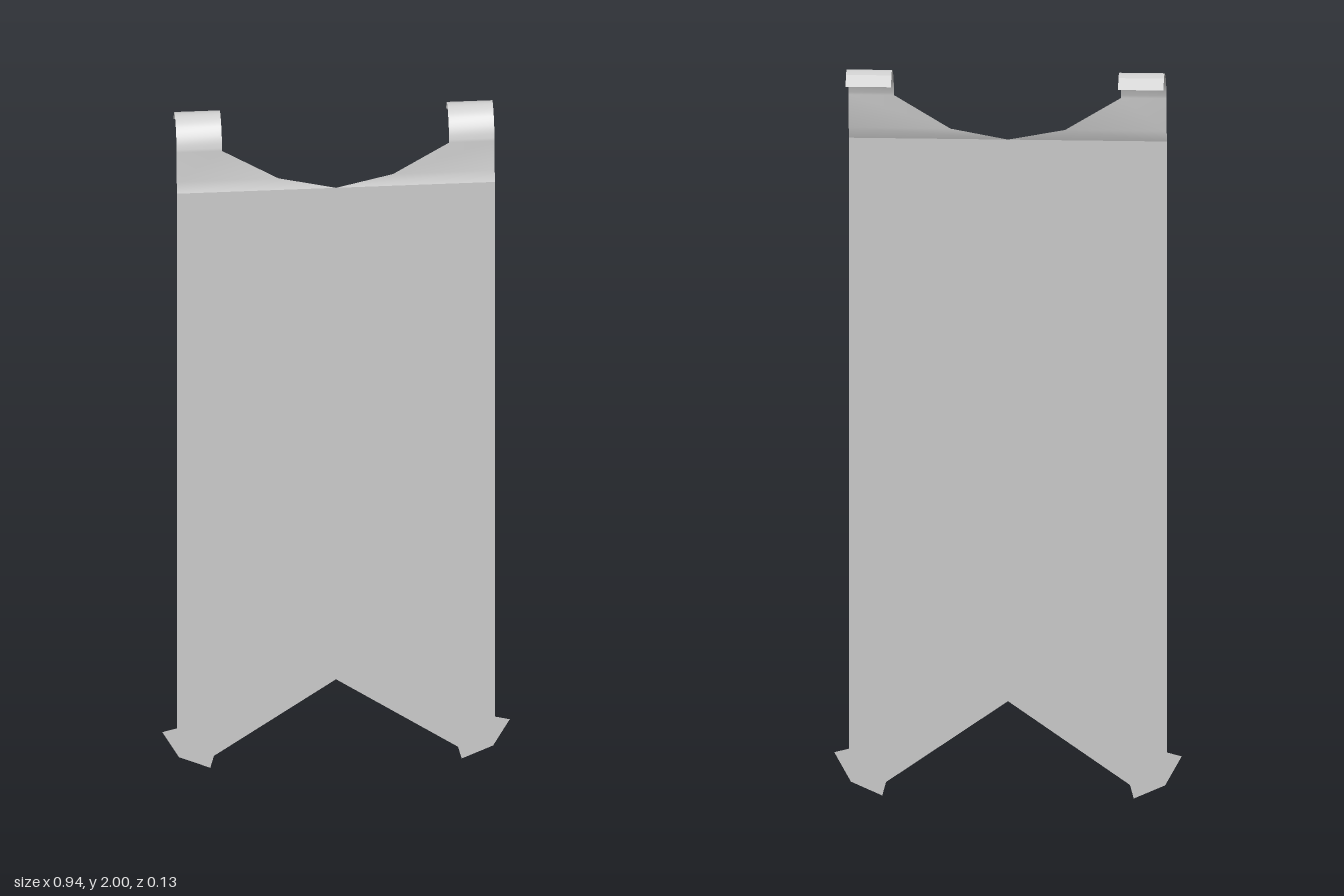
import * as THREE from 'three';

const material = new THREE.MeshStandardMaterial({ color: 0xcccccc, side: THREE.DoubleSide });
const OUTER = 0.43;

// Sheet swept through rows of [y, z, innerX], on one side of the centre line
function strip(rows, side, name) {
  const positions = [], index = [];
  rows.forEach(([y, z, inner], i) => {
    const xs = [side * inner, side * OUTER].sort((a, b) => a - b);
    xs.forEach((x) => positions.push(x, y, z));
    if (i > 0) {
      const a = 2 * i - 2;
      index.push(a, a + 1, a + 3, a, a + 3, a + 2);
    }
  });
  const geometry = new THREE.BufferGeometry();
  geometry.setAttribute('position', new THREE.Float32BufferAttribute(positions, 3));
  geometry.setIndex(index);
  geometry.computeVertexNormals();
  const mesh = new THREE.Mesh(geometry, material);
  mesh.name = name;
  return mesh;
}

export function createModel() {
  const group = new THREE.Group();
  group.name = 'hangingPanel';

  // Flat panel with a notched lower edge and flared corner tips
  const half = [[OUTER, 1.8], [OUTER, 0.13], [0.47, 0.12], [0.425, 0.04], [0.34, 0.003], [0.33, 0.04]];
  const mirrored = half.map(([x, y]) => [-x, y]).reverse();
  const outline = [...half, [0, 0.265], ...mirrored].map(([x, y]) => new THREE.Vector2(x, y));
  const panel = new THREE.Mesh(new THREE.ShapeGeometry(new THREE.Shape(outline)), material);
  panel.position.z = 0.062;
  panel.name = 'panel';
  group.add(panel);

  // Curve of the hooks from the shoulder over to the back, as (z, y)
  const inner = 0.307;
  const curve = new THREE.SplineCurve([
    [0.048, 1.92], [0.039, 1.95], [0.018, 1.98], [-0.01, 1.997], [-0.03, 2], [-0.05, 1.99],
  ].map(([z, y]) => new THREE.Vector2(z, y)));
  const hookRows = curve.getPoints(15).map((p) => [Math.min(p.y, 2), p.x, inner]);

  for (const side of [1, -1]) {
    const name = side > 0 ? 'left' : 'right';
    // Scooped shoulder running into the rolled hook
    const shoulder = [[1.8, 0.062, 0], [1.83, 0.051, 0.155]];
    group.add(strip([...shoulder, ...hookRows], side, name + 'ShoulderAndHook'));
    // Creased lip at the end of the hook
    group.add(strip([[1.99, -0.05, inner], [1.96, -0.065, inner]], side, name + 'HookLip'));
  }
  return group;
}
